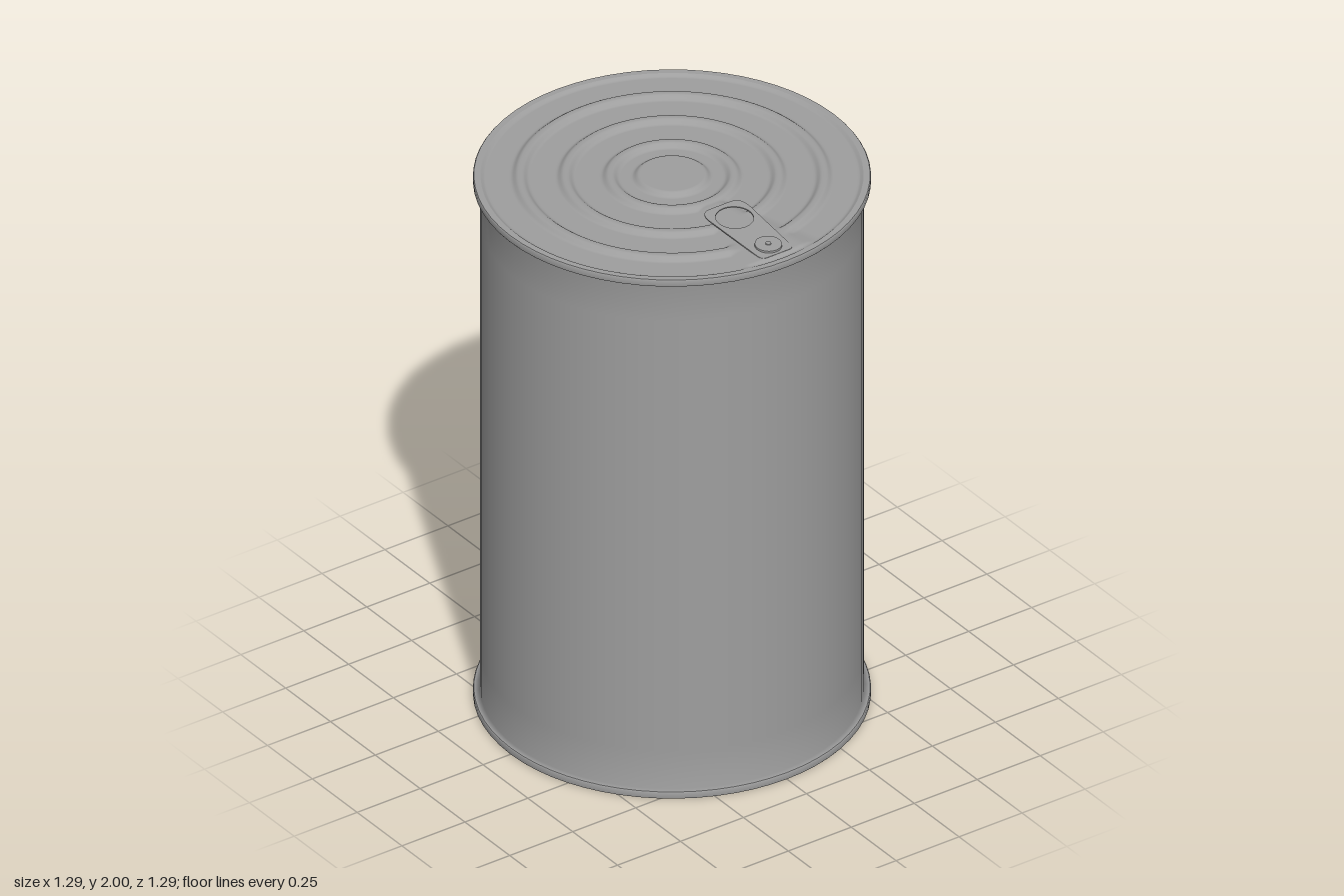
import * as THREE from 'three';
import { mergeVertices, toCreasedNormals } from 'three/addons/utils/BufferGeometryUtils.js';

const BODY_R = 0.621, RIM_R = 0.644, RIM_H = 0.025, TOP = 1.98;
const EDGE_R = RIM_R - 0.003;
const SEG = 64;
const metal = new THREE.MeshStandardMaterial({ color: 0x9e9e9e, side: THREE.DoubleSide });
const smooth = THREE.MathUtils.smoothstep;

function part(name, geometry) {
  const mesh = new THREE.Mesh(geometry, metal);
  mesh.name = name;
  return mesh;
}

function lathe(points) {
  return new THREE.LatheGeometry(points.map(([r, y]) => new THREE.Vector2(r, y)), SEG);
}

// Lid height: raised centre disc, three ring beads, and a raised wedge under the tab
function lidHeight(x, z) {
  const r = Math.hypot(x, z), base = 1.971, bead = 0.014;
  let h = 1 - smooth(r, 0.108, 0.13);
  for (const ring of [0.2, 0.345, 0.492]) {
    h = Math.max(h, 1 - smooth(Math.abs(r - ring), 0.007, 0.03));
  }
  const halfWidth = 0.042 + (x - 0.2) * 0.24;
  const wedge = smooth(x, 0.19, 0.23) * (1 - smooth(x, 0.59, 0.612))
    * (1 - smooth(Math.abs(z), halfWidth - 0.02, halfWidth + 0.012));
  h = THREE.MathUtils.lerp(h, 0.75, wedge);
  const lip = smooth(r, 0.606, BODY_R);
  return THREE.MathUtils.lerp(base + bead * h, TOP, lip);
}

function lidGeometry() {
  let g = new THREE.RingGeometry(0, BODY_R, 128, 120);
  g.rotateX(-Math.PI / 2);
  const p = g.attributes.position;
  for (let i = 0; i < p.count; i++) p.setY(i, lidHeight(p.getX(i), p.getZ(i)));
  g.deleteAttribute('uv');
  g.deleteAttribute('normal');
  g = mergeVertices(g, 1e-5);
  g.computeVertexNormals();
  return g;
}

// Tapered tab with a finger hole; local x runs from the lifted end to the rivet end
function tabGeometry() {
  const s = new THREE.Shape();
  s.moveTo(0.3, -0.065);
  s.quadraticCurveTo(0.325, -0.063, 0.325, -0.045);
  s.lineTo(0.325, 0.045);
  s.quadraticCurveTo(0.325, 0.063, 0.3, 0.065);
  s.lineTo(0.05, 0.08);
  s.quadraticCurveTo(0, 0.08, 0, 0.04);
  s.lineTo(0, -0.04);
  s.quadraticCurveTo(0, -0.08, 0.05, -0.08);
  s.closePath();
  const hole = new THREE.Path();
  hole.absarc(0.082, 0, 0.062, 0, Math.PI * 2, true);
  s.holes.push(hole);
  const g = new THREE.ExtrudeGeometry(s, { depth: 0.004, bevelEnabled: false, curveSegments: 20 });
  g.rotateX(-Math.PI / 2);
  return toCreasedNormals(g, 0.6);
}

export function createModel() {
  const can = new THREE.Group();
  can.name = 'tinCan';

  // Side wall, flaring softly into the flange at each end
  can.add(part('body', lathe([
    [EDGE_R, RIM_H], [BODY_R, RIM_H], [BODY_R, 0.17],
    [BODY_R, TOP - 0.17], [BODY_R, TOP - RIM_H], [EDGE_R, TOP - RIM_H],
  ])));

  // Outer bands of the seamed rims, with slightly eased edges
  for (const [name, y] of [['bottomRim', 0], ['topRim', TOP - RIM_H]]) {
    can.add(part(name, lathe([
      [EDGE_R, y], [RIM_R, y + 0.004], [RIM_R, y + RIM_H - 0.004], [EDGE_R, y + RIM_H],
    ])));
  }

  // Flat base, top of the upper seam and pressed lid
  can.add(part('base', new THREE.CircleGeometry(EDGE_R, SEG).rotateX(Math.PI / 2)));
  can.add(part('seamTop', new THREE.RingGeometry(BODY_R - 0.001, EDGE_R, SEG)
    .rotateX(-Math.PI / 2).translate(0, TOP, 0)));
  can.add(part('lid', lidGeometry()));

  // Pull tab, tilted up towards the centre of the lid and pressed into it at the rivet end
  const tab = new THREE.Group();
  tab.name = 'pullTab';
  tab.position.set(0.267, 1.996, 0);
  tab.rotation.z = -0.055;
  tab.add(part('tabPlate', tabGeometry()));
  const rivet = part('rivet', new THREE.CylinderGeometry(0.044, 0.045, 0.016, 40));
  rivet.position.set(0.27, 0.003, 0);
  const dimple = part('rivetCentre', new THREE.CylinderGeometry(0.009, 0.01, 0.004, 20));
  dimple.position.set(0.27, 0.012, 0);
  tab.add(rivet, dimple);
  can.add(tab);

  return can;
}
